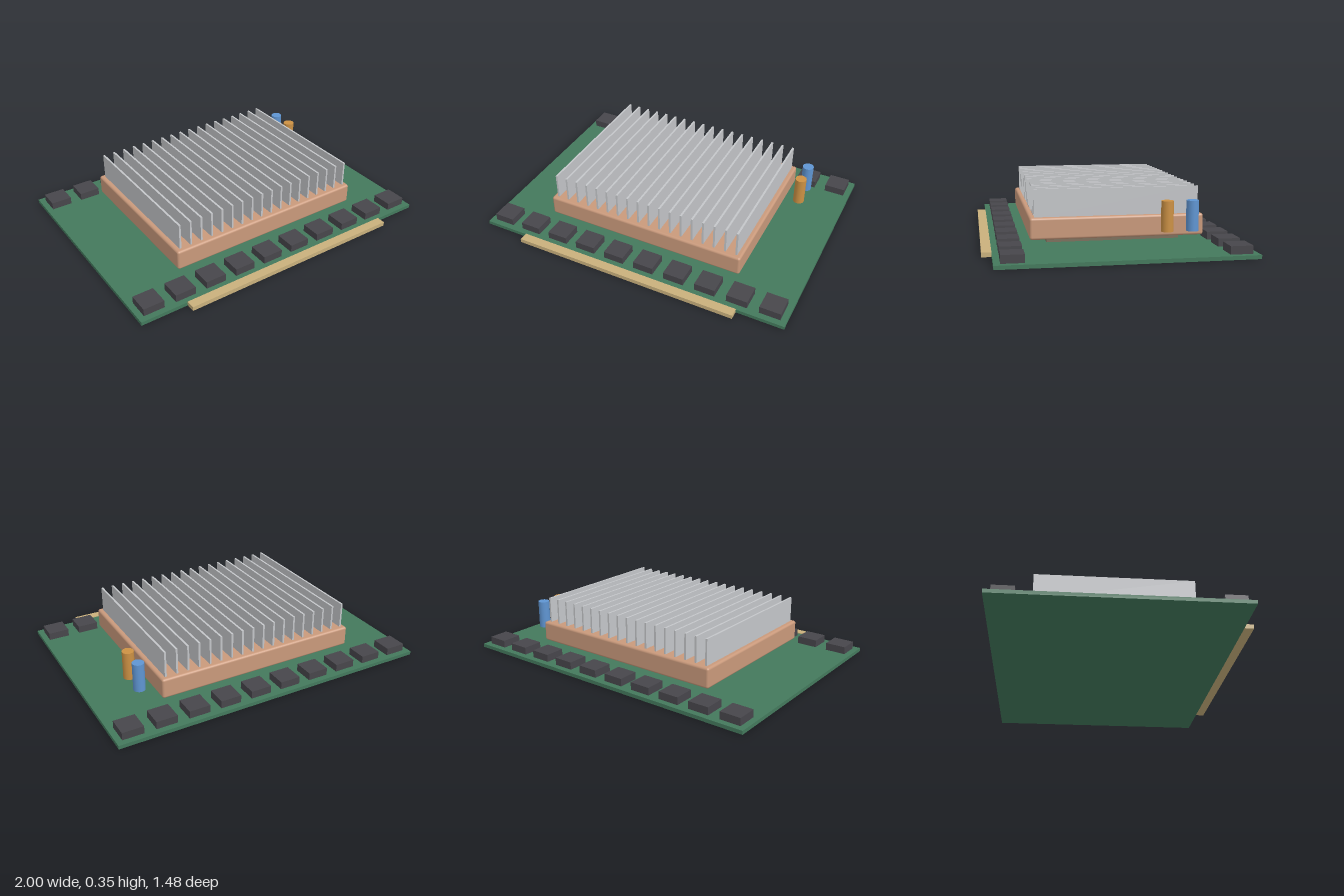
import * as THREE from 'three';
import { RoundedBoxGeometry } from 'three/addons/geometries/RoundedBoxGeometry.js';

const material = (name, color) => {
  const m = new THREE.MeshStandardMaterial({ color });
  m.name = name;
  return m;
};

export function createModel() {
  const model = new THREE.Group();
  model.name = 'circuitBoardWithHeatSink';

  const green = material('board green', 0x43795c);
  const gold = material('contact gold', 0xc9b07c);
  const charcoal = material('chip charcoal', 0x47464b);
  const taupe = material('die taupe', 0x7d705c);
  const copper = material('copper', 0xc9997b);
  const silver = material('fin silver', 0xc4c6c9);
  const orange = material('capacitor orange', 0xcc9144);
  const blue = material('capacitor blue', 0x5f95d2);

  const add = (name, geometry, mat, x, y, z, parent = model) => {
    const mesh = new THREE.Mesh(geometry, mat);
    mesh.name = name;
    mesh.position.set(x, y, z);
    parent.add(mesh);
  };
  const group = (name) => {
    const g = new THREE.Group();
    g.name = name;
    model.add(g);
    return g;
  };

  const midZ = -0.028; // centre line of the board

  // Board and edge connector
  add('board', new THREE.BoxGeometry(2, 0.022, 1.425), green, 0, 0.011, midZ);
  add('edgeConnector', new THREE.BoxGeometry(1.426, 0.026, 0.056), gold, 0, 0.014, 0.712);

  // Two rows of ten chips
  const chips = group('chips');
  const chipGeometry = new THREE.BoxGeometry(0.128, 0.046, 0.126);
  for (const side of [-1, 1]) {
    for (let i = 0; i < 10; i++) {
      add('chip', chipGeometry, charcoal, -0.9 + i * 0.2, 0.045, midZ + side * 0.613, chips);
    }
  }

  // Processor die under the heat sink
  add('die', new THREE.BoxGeometry(1, 0.036, 0.785), taupe, 0, 0.044, midZ);

  // Heat sink: rounded base with a row of thin fins
  const sink = group('heatSink');
  add('heatSinkBase', new RoundedBoxGeometry(1.28, 0.124, 0.998, 3, 0.014), copper, 0, 0.131, midZ, sink);
  const finGeometry = new THREE.BoxGeometry(0.012, 0.16, 0.943);
  for (let i = 0; i < 18; i++) {
    add('fin', finGeometry, silver, -0.606 + (i * 1.212) / 17, 0.271, midZ, sink);
  }

  // Pair of capacitors beside the heat sink
  const capGeometry = new THREE.CylinderGeometry(0.035, 0.035, 0.173, 16);
  add('blueCapacitor', capGeometry, blue, 0.74, 0.202, -0.43);
  add('orangeCapacitor', capGeometry, orange, 0.74, 0.202, -0.286);

  return model;
}
